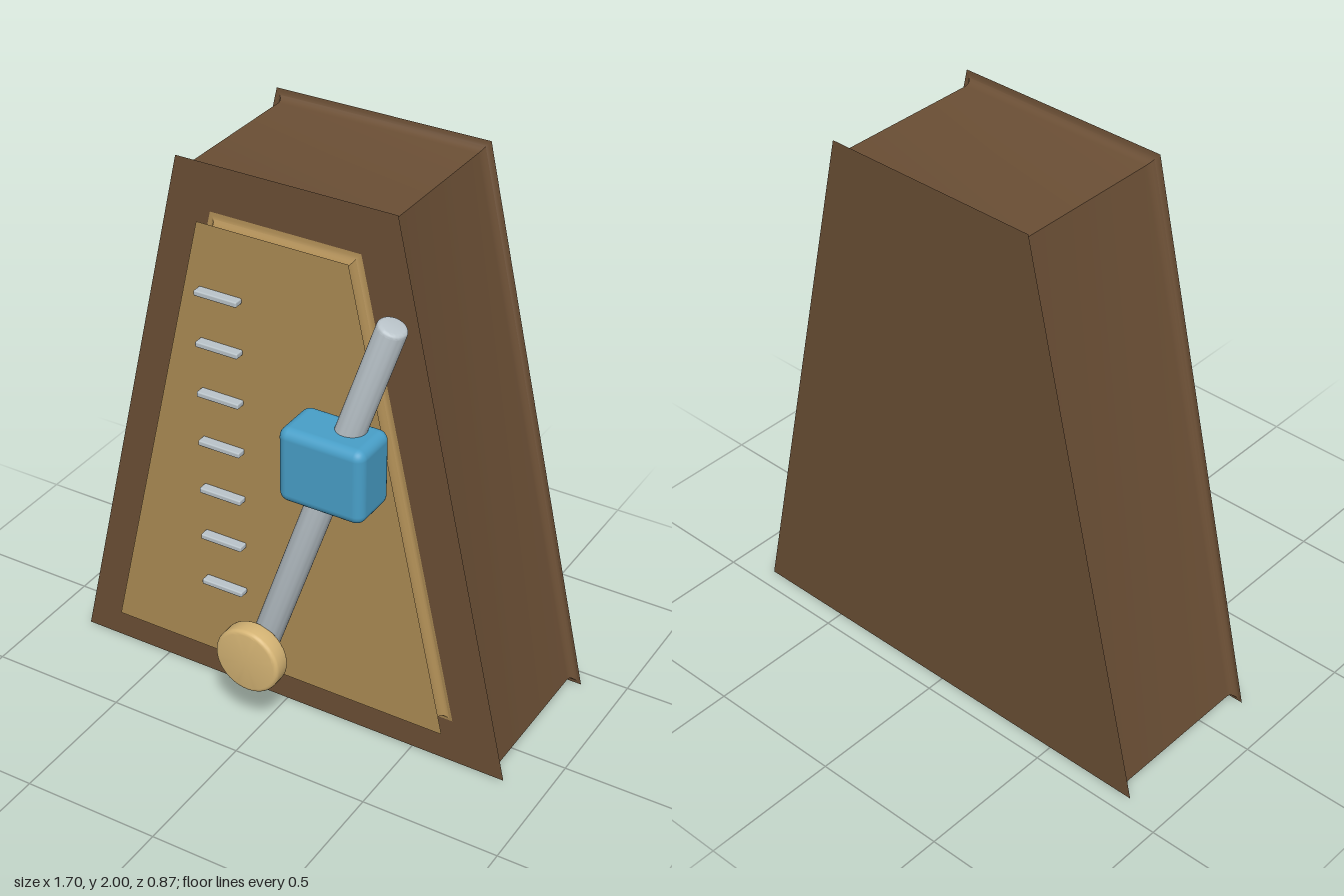
import * as THREE from 'three';
import { toCreasedNormals } from 'three/addons/utils/BufferGeometryUtils.js';
import { RoundedBoxGeometry } from 'three/addons/geometries/RoundedBoxGeometry.js';

const material = (name, color) => {
  const m = new THREE.MeshStandardMaterial({ color });
  m.name = name;
  return m;
};

// Trapezoid slab whose front and back faces flare out past its inset walls
function flaredSlab(bottomHalf, topHalf, y0, y1, z0, z1, inset) {
  const shape = new THREE.Shape([
    new THREE.Vector2(-bottomHalf, y0), new THREE.Vector2(bottomHalf, y0),
    new THREE.Vector2(topHalf, y1), new THREE.Vector2(-topHalf, y1),
  ]);
  const geometry = new THREE.ExtrudeGeometry(shape, {
    depth: z1 - z0 - 2 * inset, bevelEnabled: true,
    bevelThickness: inset, bevelSize: -inset, bevelSegments: 5,
  });
  geometry.translate(0, 0, z0 + inset);
  return toCreasedNormals(geometry, 0.6);
}

// Cylinder along y, from 0 to length, with softened rims
function softCylinder(radius, length, rim) {
  const points = [new THREE.Vector2(0, 0)];
  for (let i = 0; i <= 4; i++) {
    const a = (i / 4) * Math.PI / 2;
    points.push(new THREE.Vector2(radius - rim + rim * Math.sin(a), rim - rim * Math.cos(a)));
  }
  for (let i = 0; i <= 4; i++) {
    const a = (i / 4) * Math.PI / 2;
    points.push(new THREE.Vector2(radius - rim + rim * Math.cos(a), length - rim + rim * Math.sin(a)));
  }
  points.push(new THREE.Vector2(0, length));
  return toCreasedNormals(new THREE.LatheGeometry(points, 40), 0.5);
}

export function createModel() {
  const model = new THREE.Group();
  model.name = 'metronome';

  const wood = material('dark wood', 0x6b4f35);
  const brass = material('panel tan', 0xac8b54);
  const gold = material('pale gold', 0xd6b575);
  const steel = material('steel', 0xbac4ca);
  const blue = material('blue', 0x489fc8);

  const add = (name, geometry, mat, x = 0, y = 0, z = 0) => {
    const mesh = new THREE.Mesh(geometry, mat);
    mesh.name = name;
    mesh.position.set(x, y, z);
    model.add(mesh);
    return mesh;
  };

  // Case and front panel
  add('case', flaredSlab(0.85, 0.4, 0, 2, -0.435, 0.165, 0.035), wood);
  add('frontPanel', flaredSlab(0.65, 0.275, 0.17, 1.835, 0.165, 0.243, 0.033), brass);

  // Tempo scale marks
  const markGeometry = new RoundedBoxGeometry(0.16, 0.02, 0.037, 2, 0.005);
  for (let i = 0; i < 7; i++) {
    add('scaleMark' + (i + 1), markGeometry, steel, -0.19, 0.474 + i * 0.1875, 0.261);
  }

  // Swinging arm, sliding weight and pivot knob
  const rod = add('pendulumRod', softCylinder(0.05, 1.457, 0.014), steel, 0, 0.34, 0.315);
  rod.rotation.z = -THREE.MathUtils.degToRad(19);

  add('slidingWeight', new RoundedBoxGeometry(0.31, 0.272, 0.186, 4, 0.035), blue, 0.285, 1.172, 0.341);

  const knob = add('pivotKnob', softCylinder(0.123, 0.074, 0.015), gold, 0, 0.335, 0.355);
  knob.rotation.x = Math.PI / 2;

  return model;
}
